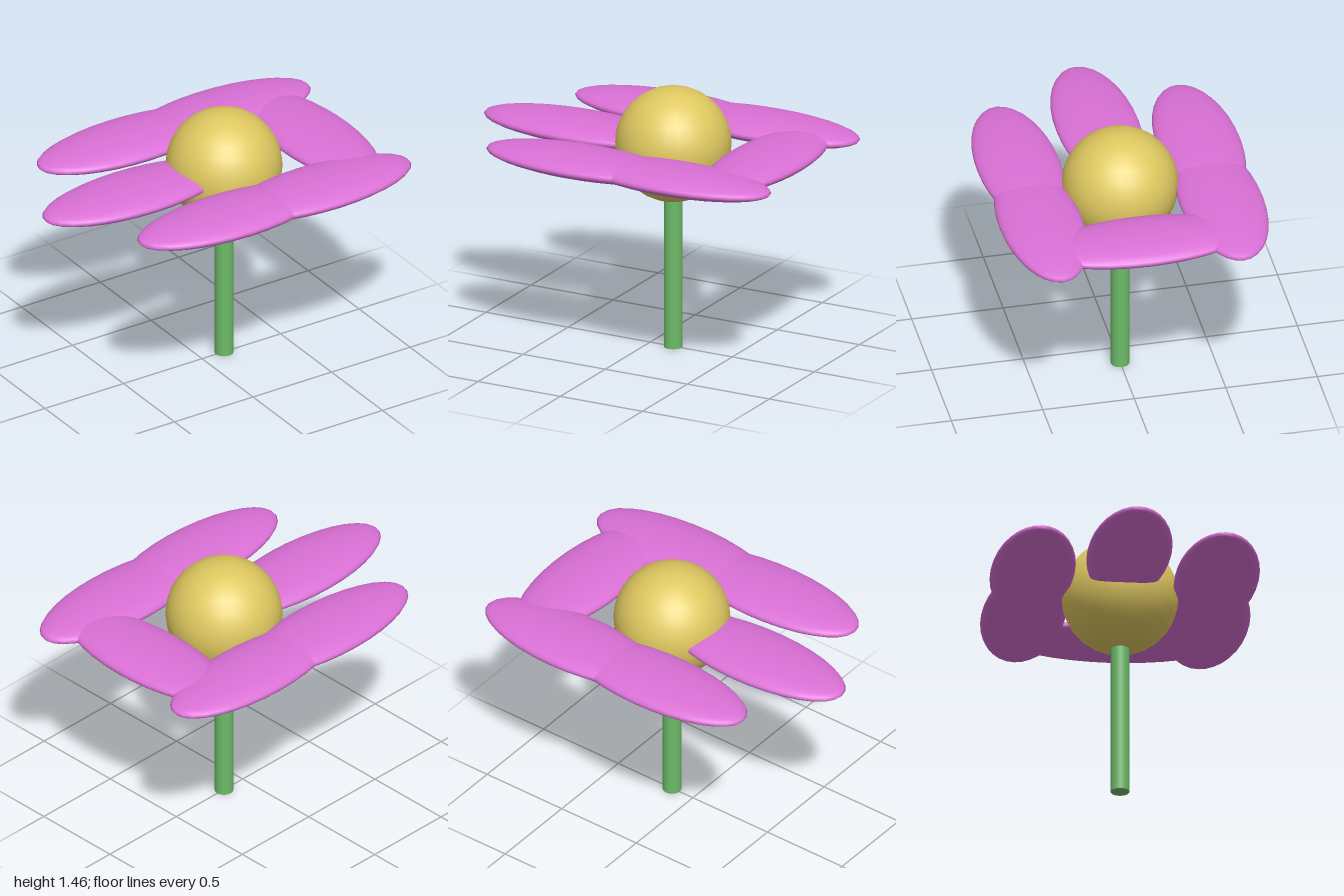
import * as THREE from 'three';

export function createModel() {
  const petalPink = new THREE.MeshStandardMaterial({ color: 0xda70d6 });
  const centreYellow = new THREE.MeshStandardMaterial({ color: 0xdfc860 });
  const stemGreen = new THREE.MeshStandardMaterial({ color: 0x6dbb68 });

  const flower = new THREE.Group();
  flower.name = 'flower';
  flower.position.x = 0.14;

  const headY = 1.147;
  const ring = 0.57;

  function add(name, geometry, material, x, y, z) {
    const mesh = new THREE.Mesh(geometry, material);
    mesh.name = name;
    mesh.position.set(x, y, z);
    flower.add(mesh);
    return mesh;
  }

  // Stem, ending just inside the round centre
  const stemHeight = 0.86;
  add('stem', new THREE.CylinderGeometry(0.05, 0.05, stemHeight, 32), stemGreen, 0, stemHeight / 2, 0);

  // Round centre
  add('flowerCentre', new THREE.SphereGeometry(0.313, 32, 16), centreYellow, 0, headY, 0);

  // Six flat petals around the centre; the one on the left side lies crosswise
  const petalShape = new THREE.SphereGeometry(1, 32, 16).scale(0.57, 0.062, 0.226);
  for (let i = 0; i < 6; i++) {
    const a = (i * Math.PI) / 3;
    const petal = add(`petal${i + 1}`, petalShape, petalPink, Math.cos(a) * ring, headY, Math.sin(a) * ring);
    if (i === 0) petal.rotation.y = Math.PI / 2;
  }

  const model = new THREE.Group();
  model.name = 'flowerModel';
  model.add(flower);
  return model;
}
